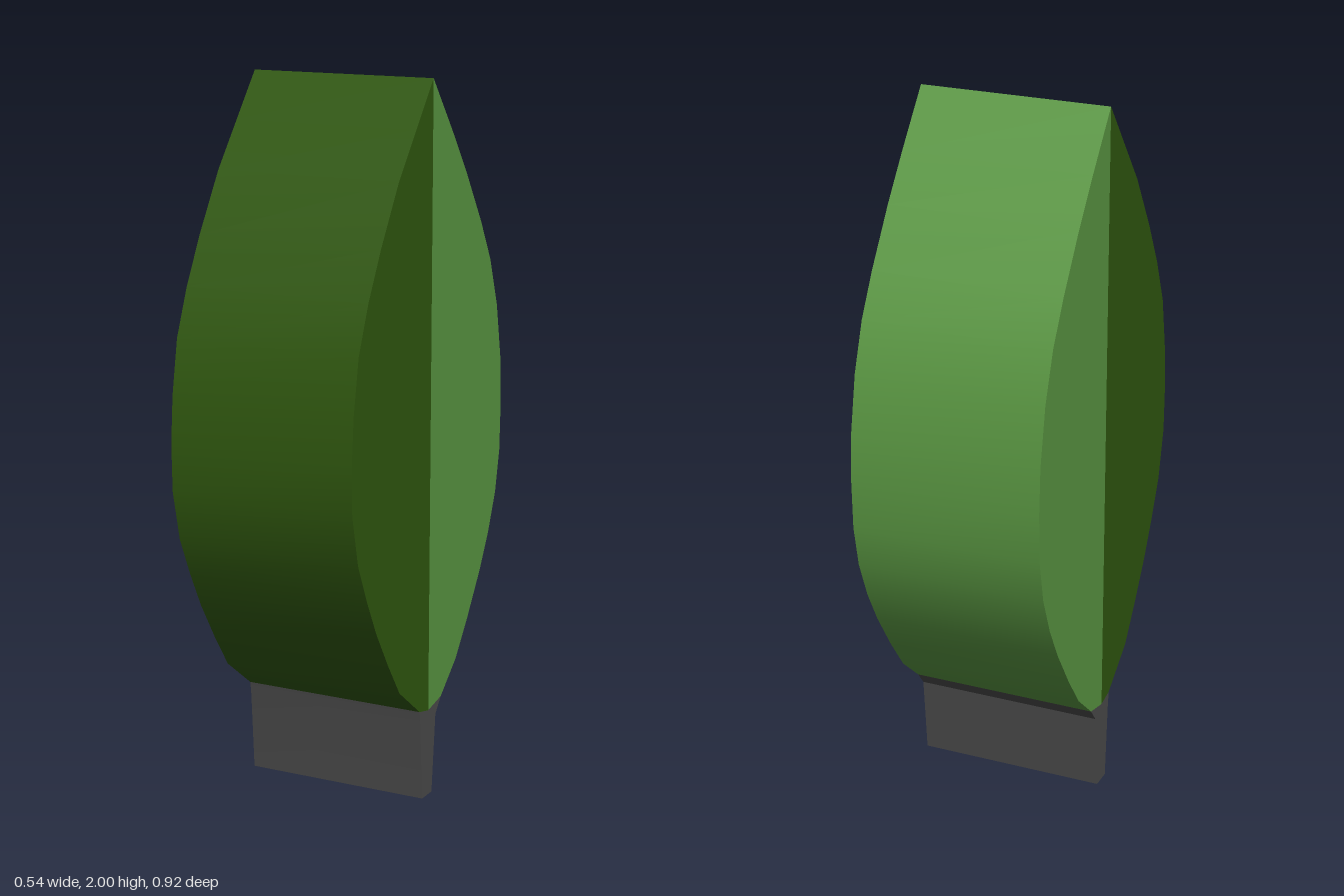
import * as THREE from 'three';
import { toCreasedNormals } from 'three/addons/utils/BufferGeometryUtils.js';

const WIDTH = 0.54;

// Extrude a [z, y] outline across x, smooth along its curve and sharp at its edges
function slab(name, outline, color) {
  const shape = new THREE.Shape(outline.map(([z, y]) => new THREE.Vector2(-z, y)));
  const extruded = new THREE.ExtrudeGeometry(shape, { depth: WIDTH, bevelEnabled: false });
  extruded.translate(0, 0, -WIDTH / 2).rotateY(Math.PI / 2);
  const mesh = new THREE.Mesh(
    toCreasedNormals(extruded, 0.5),
    new THREE.MeshStandardMaterial({ color })
  );
  mesh.name = name;
  return mesh;
}

export function createModel() {
  const group = new THREE.Group();
  group.name = 'leaf';

  // Dark half, towards the front
  group.add(slab('darkLeafHalf', [
    [0, 2], [0.1, 1.875], [0.2, 1.75], [0.3, 1.59], [0.37, 1.46], [0.423, 1.33],
    [0.45, 1.18], [0.46, 1.05], [0.457, 0.92], [0.425, 0.78], [0.375, 0.67],
    [0.32, 0.565], [0.25, 0.455], [0.18, 0.355], [0.055, 0.262], [0, 0.25],
  ], 0x30580f));

  // Light half, towards the back
  group.add(slab('lightLeafHalf', [
    [0, 2], [-0.12, 1.85], [-0.21, 1.73], [-0.31, 1.58], [-0.375, 1.465], [-0.423, 1.33],
    [-0.453, 1.17], [-0.46, 1.04], [-0.455, 0.9], [-0.43, 0.78], [-0.385, 0.67],
    [-0.33, 0.57], [-0.25, 0.45], [-0.175, 0.35], [-0.08, 0.267], [0, 0.25],
  ], 0x5a9742));

  // Stem, flaring out where it meets the leaf
  group.add(slab('stem', [
    [0.035, 0], [0.05, 0.225], [0.055, 0.262], [0, 0.25],
    [-0.08, 0.267], [-0.046, 0.225], [-0.025, 0],
  ], 0x4b4b4b));

  return group;
}
